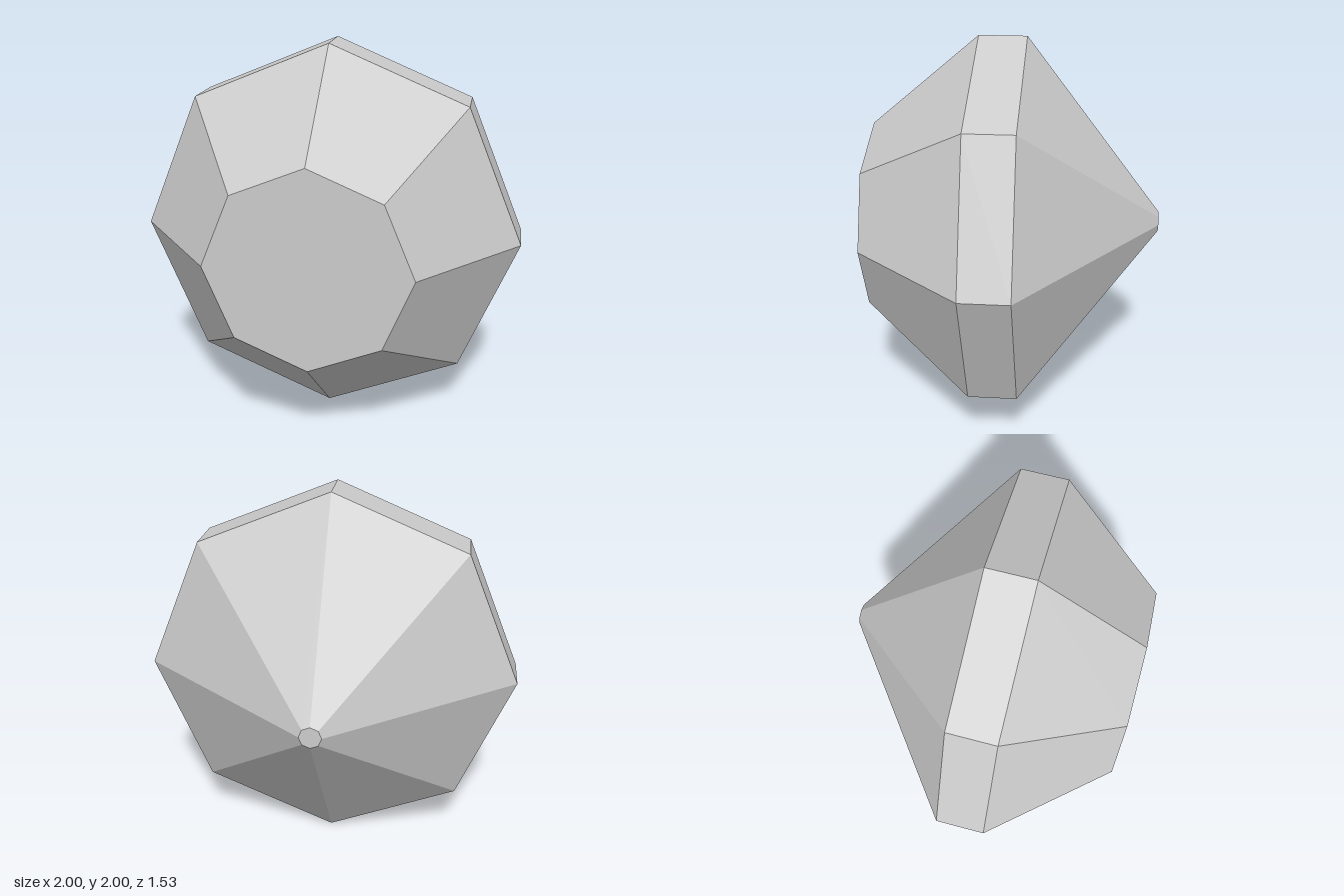
import * as THREE from 'three';

export function createModel() {
  const group = new THREE.Group();
  group.name = 'gem';

  const stone = new THREE.MeshStandardMaterial({ color: 0xcccccc, flatShading: true });
  stone.name = 'grey stone';

  const sides = 8;

  // Octagonal section between two depths; the axis runs along z
  function section(name, zFront, rFront, zBack, rBack) {
    const geometry = new THREE.CylinderGeometry(rFront, rBack, zFront - zBack, sides, 1, true);
    geometry.rotateX(Math.PI / 2);
    const mesh = new THREE.Mesh(geometry, stone);
    mesh.name = name;
    mesh.position.set(0, 1, (zFront + zBack) / 2);
    group.add(mesh);
  }

  // Flat octagonal face closing one end
  function cap(name, z, radius, facesBack) {
    const geometry = new THREE.CircleGeometry(radius, sides);
    if (facesBack) geometry.rotateY(Math.PI);
    const mesh = new THREE.Mesh(geometry, stone);
    mesh.name = name;
    mesh.position.set(0, 1, z);
    group.add(mesh);
  }

  cap('table', 0.767, 0.52, false);
  section('crown', 0.767, 0.52, 0.197, 1);
  section('girdle', 0.197, 1, -0.053, 1);
  section('pavilion', -0.053, 1, -0.767, 0.057);
  cap('culet', -0.767, 0.057, true);

  return group;
}
